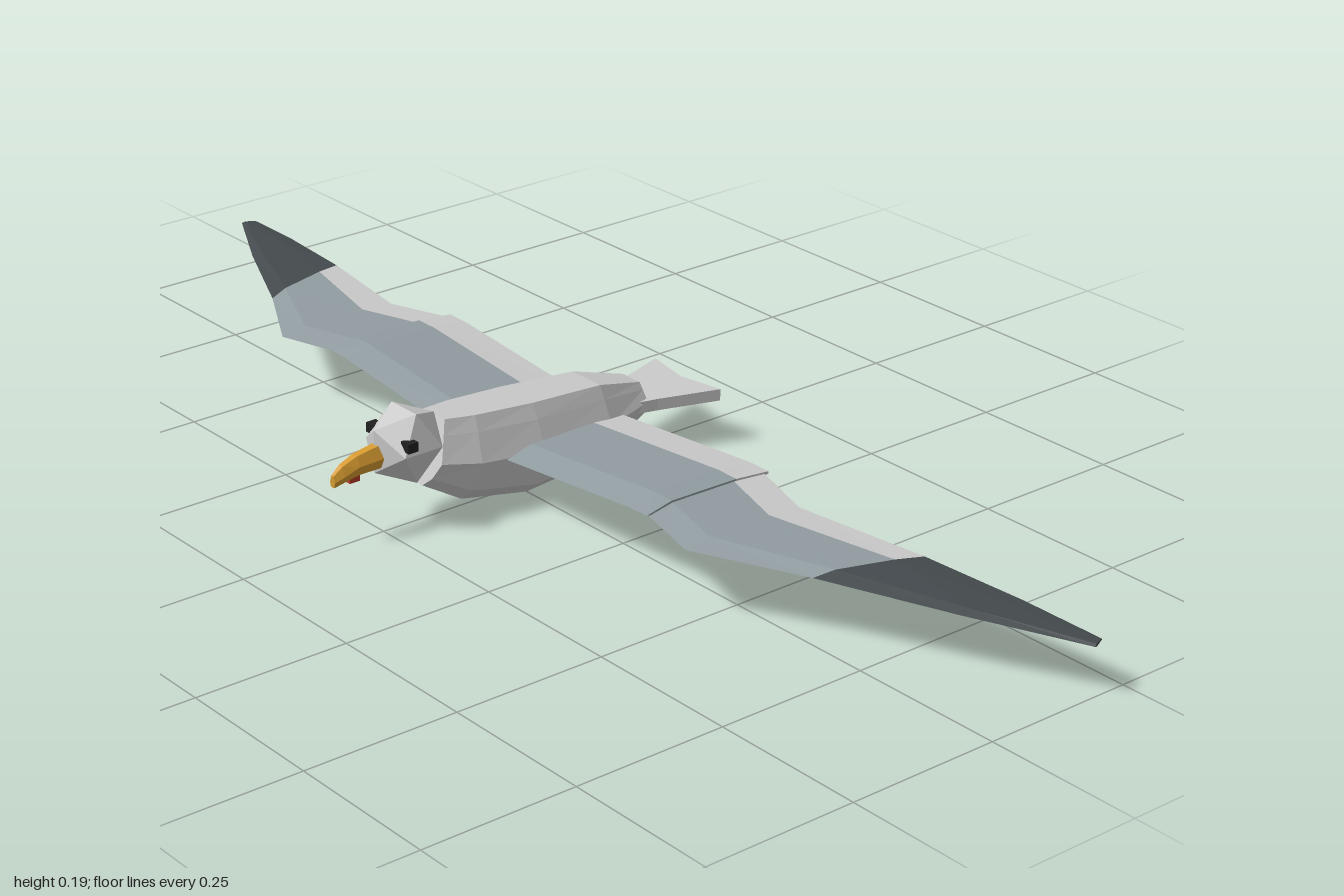
import * as THREE from 'three';

const mat = (color) => new THREE.MeshStandardMaterial({ color, flatShading: true });
const pale = mat(0xcccccc), slate = mat(0x919ca1), dark = mat(0x444a4d);
const orange = mat(0xd69a30), red = mat(0xb83a2a), pink = mat(0xc87c6a), black = mat(0x202020);

// Closed solid skinned over a row of equal-sized loops of [x, y, z] points
function loft(rings) {
  const n = rings[0].length, idx = [];
  for (let r = 0; r < rings.length - 1; r++) {
    for (let i = 0; i < n; i++) {
      const a = r * n + i, b = r * n + (i + 1) % n;
      idx.push(a, b, a + n, b, b + n, a + n);
    }
  }
  const last = (rings.length - 1) * n;
  for (let i = 1; i < n - 1; i++) {
    idx.push(0, i + 1, i, last, last + i, last + i + 1);
  }
  // Turn the faces outward if the enclosed volume comes out negative
  const p = rings.flat().map((v) => new THREE.Vector3(...v));
  let volume = 0;
  for (let i = 0; i < idx.length; i += 3) {
    volume += p[idx[i]].dot(p[idx[i + 1]].clone().cross(p[idx[i + 2]]));
  }
  if (volume < 0) idx.reverse();
  const g = new THREE.BufferGeometry().setFromPoints(p);
  g.setIndex(idx);
  const flat = g.toNonIndexed();
  flat.computeVertexNormals();
  return flat;
}

// Loop across x from its right-hand half, given as [x, y, z] from top to bottom
const mirrored = (half) => [...half, ...half.slice().reverse().map(([x, y, z]) => [-x, y, z])];

function add(parent, name, geometry, material, x = 0, y = 0, z = 0) {
  const m = new THREE.Mesh(geometry, material);
  m.name = name;
  m.position.set(x, y, z);
  parent.add(m);
  return m;
}

// Wing stations: leading x, z; trailing x, z; height; thickness
const inner = [
  [0.03, 0.07, 0.03, -0.168, 0.086, 0.024],
  [0.34, 0.068, 0.34, -0.165, 0.115, 0.022],
  [0.378, 0.066, 0.378, -0.165, 0.115, 0.02],
];
const outer = [
  [0.36, 0.058, 0.36, -0.163, 0.114, 0.017],
  [0.485, 0.087, 0.485, -0.127, 0.109, 0.017],
  [0.645, -0.005, 0.695, -0.17, 0.1, 0.013],
];
const tip = [
  outer[2],
  [0.84, -0.1, 0.86, -0.196, 0.09, 0.009],
  [1.0, -0.188, 0.99, -0.212, 0.08, 0.005],
];
// Wing profiles: fraction of chord, fraction of thickness
const frontProfile = [[0, 0], [0.2, 0.5], [0.73, 0.4], [0.73, -0.3], [0.2, -0.5]];
const rearProfile = [[0.73, 0.4], [1, 0.1], [1, -0.1], [0.73, -0.3]];
const wholeProfile = [[0, 0], [0.2, 0.5], [0.73, 0.4], [1, 0.1], [1, -0.1], [0.73, -0.3], [0.2, -0.5]];

const wingPiece = (stations, profile, side) => loft(stations.map(([xl, zl, xt, zt, y, t]) =>
  profile.map(([c, h]) => [side * (xl + (xt - xl) * c), y + h * t, zl + (zt - zl) * c])));

export function createModel() {
  const bird = new THREE.Group();
  bird.name = 'seabird';

  // Body stations: top z, bottom z, half width, top, shoulder, middle, lower, bottom heights
  const body = [
    [0.155, 0.19, 0.046, 0.165, 0.143, 0.105, 0.08, 0.065],
    [0.105, 0.122, 0.062, 0.161, 0.138, 0.095, 0.046, 0.025],
    [0, 0, 0.07, 0.153, 0.13, 0.085, 0.024, 0.002],
    [-0.135, -0.138, 0.06, 0.143, 0.122, 0.085, 0.033, 0.012],
    [-0.225, -0.232, 0.036, 0.119, 0.108, 0.09, 0.068, 0.06],
  ];
  add(bird, 'body', loft(body.map(([zt, zb, w, top, sh, mid, low, bot]) => {
    const z = (y) => zb + (zt - zb) * (y - bot) / (top - bot);
    return mirrored([[0.55, top], [0.72, sh], [1, mid], [0.72, low], [0.35, bot]]
      .map(([f, y]) => [f * w, y, z(y)]));
  })), pale);

  // Head and eyes
  add(bird, 'head', new THREE.IcosahedronGeometry(0.0645, 0), pale, 0, 0.135, 0.21).scale.x = 0.88;
  for (const s of [1, -1]) {
    add(bird, s > 0 ? 'leftEye' : 'rightEye', new THREE.BoxGeometry(0.018, 0.015, 0.018), black, s * 0.043, 0.15, 0.232);
  }

  // Hooked beak: z, half width, top, middle, bottom
  add(bird, 'beak', loft([
    [0.25, 0.016, 0.148, 0.128, 0.112],
    [0.3, 0.013, 0.14, 0.125, 0.111],
    [0.325, 0.01, 0.13, 0.115, 0.105],
    [0.34, 0.006, 0.118, 0.108, 0.1],
  ].map(([z, w, t, m, b]) => mirrored([[w * 0.45, t, z], [w, m, z], [w * 0.7, b, z]]))), orange);
  add(bird, 'beakSpot', new THREE.BoxGeometry(0.016, 0.012, 0.018), red, 0, 0.107, 0.306);

  // Notched tail fan
  const fan = new THREE.Shape([[-0.03, 0.18], [0.03, 0.18], [0.045, 0.24], [0.077, 0.34], [0, 0.325], [-0.077, 0.34], [-0.045, 0.24]]
    .map(([x, y]) => new THREE.Vector2(x, y)));
  const tail = new THREE.ExtrudeGeometry(fan, { depth: 0.019, bevelEnabled: false });
  tail.rotateX(-Math.PI / 2);
  add(bird, 'tail', tail, pale, 0, 0.076, 0);

  // Wings and tucked feet on both sides
  for (const s of [1, -1]) {
    const wing = new THREE.Group();
    wing.name = s > 0 ? 'leftWing' : 'rightWing';
    add(wing, 'innerWing', wingPiece(inner, frontProfile, s), slate);
    add(wing, 'innerTrailingFeathers', wingPiece(inner, rearProfile, s), pale);
    add(wing, 'outerWing', wingPiece(outer, frontProfile, s), slate);
    add(wing, 'outerTrailingFeathers', wingPiece(outer, rearProfile, s), pale);
    add(wing, 'wingTip', wingPiece(tip, wholeProfile, s), dark);
    bird.add(wing);
    add(bird, s > 0 ? 'leftFoot' : 'rightFoot', new THREE.BoxGeometry(0.02, 0.019, 0.064), pink, s * 0.022, 0.03, -0.198);
  }
  return bird;
}
